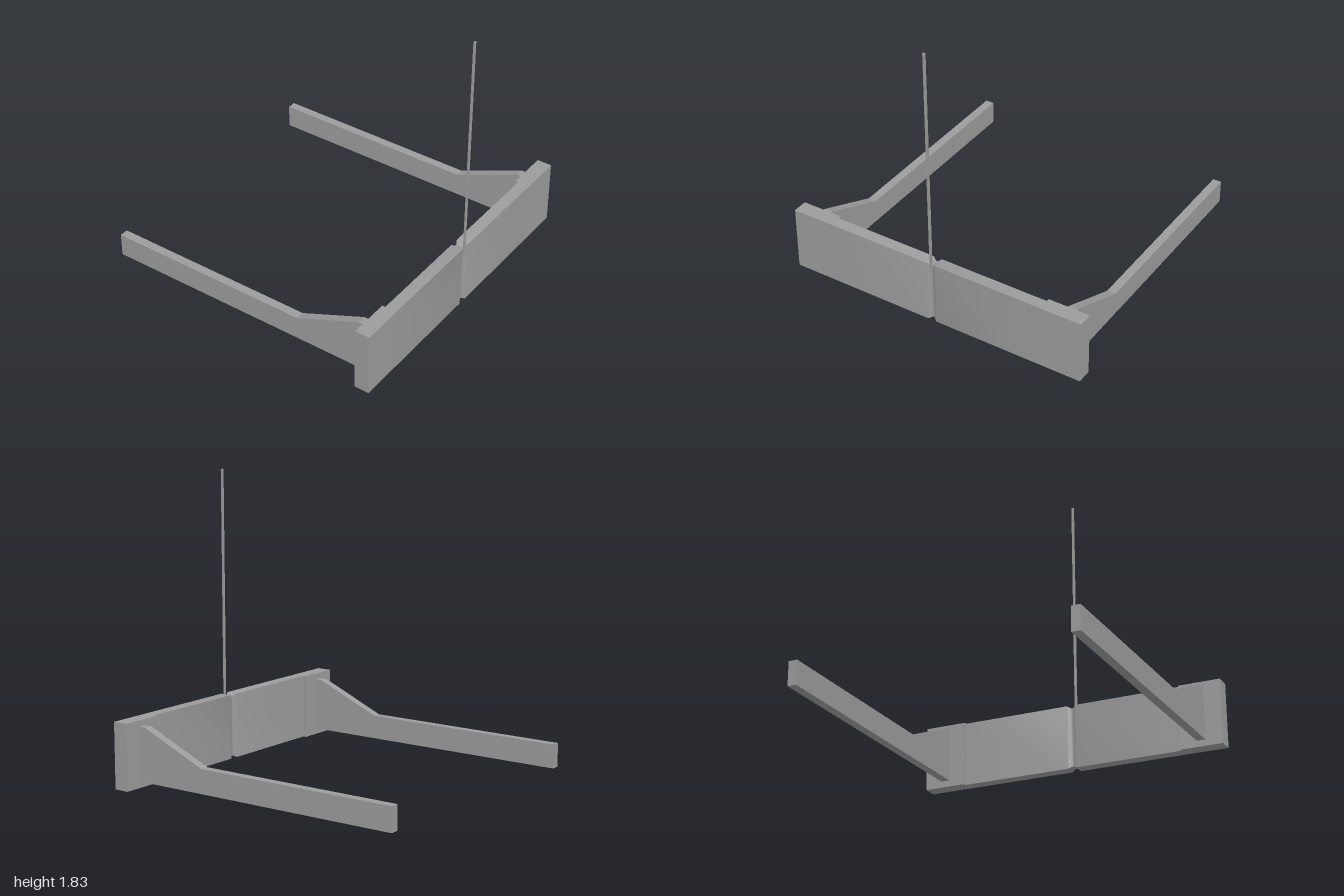
import * as THREE from 'three';
import { toCreasedNormals } from 'three/addons/utils/BufferGeometryUtils.js';

const grey = new THREE.MeshStandardMaterial({ color: 0x9c9c9c });

// Rectangular sections [x, zBack, inset] joined along x
function panelGeometry(sections, zFront, height) {
  const pos = [], idx = [];
  for (const [x, zBack, d] of sections) {
    pos.push(x, d, zFront - d, x, height - d, zFront - d,
      x, height - d, zBack + d, x, d, zBack + d);
  }
  for (let s = 0; s < sections.length - 1; s++) {
    for (let k = 0; k < 4; k++) {
      const a = s * 4 + k, b = s * 4 + (k + 1) % 4;
      idx.push(a, a + 4, b, b, a + 4, b + 4);
    }
  }
  const e = (sections.length - 1) * 4;
  idx.push(0, 1, 2, 0, 2, 3, e, e + 2, e + 1, e, e + 3, e + 2);
  const g = new THREE.BufferGeometry();
  g.setAttribute('position', new THREE.Float32BufferAttribute(pos, 3));
  g.setIndex(idx);
  return toCreasedNormals(g, 0.7);
}

export function createModel() {
  const model = new THREE.Group();
  const add = (name, geometry, x, y, z) => {
    const mesh = new THREE.Mesh(geometry, grey);
    mesh.name = name;
    mesh.position.set(x, y, z);
    model.add(mesh);
  };

  // Front panel: thick mounting ends, thinner middle, rounded pinch at the centre
  const centre = -0.01, ends = 0.864, middle = 0.884;
  const pinch = [[0.03, 0], [0.02, 0.005], [0.01, 0.012], [0.005, 0.0138]];
  add('frontPanel', panelGeometry([
    [-1, ends, 0], [-0.73, ends, 0], [-0.73, middle, 0],
    ...pinch.map(([dx, inset]) => [centre - dx, middle, inset]),
    ...pinch.map(([dx, inset]) => [centre + dx, middle, inset]).reverse(),
    [0.73, middle, 0], [0.73, ends, 0], [1, ends, 0],
  ], 0.96, 0.412), 0, 0, 0);

  // Support arms: side profile (z, y) extruded across the width
  const profile = new THREE.Shape([
    [-0.962, 0.04], [0.87, 0.04], [0.87, 0.375], [0.815, 0.375], [0.38, 0.19], [-0.962, 0.19],
  ].map(([z, y]) => new THREE.Vector2(-z, y)));
  const width = 0.055;
  const armGeometry = new THREE.ExtrudeGeometry(profile, { depth: width, bevelEnabled: false });
  armGeometry.translate(0, 0, -width / 2);
  armGeometry.rotateY(Math.PI / 2);
  for (const [name, side] of [['leftArm', 1], ['rightArm', -1]]) {
    add(name, armGeometry, side * 0.863, 0, 0);
  }

  // Thin square mast standing in the centre notch
  add('mast', new THREE.BoxGeometry(0.015, 1.48, 0.01), -0.01, 1.092, 0.956);

  return model;
}
